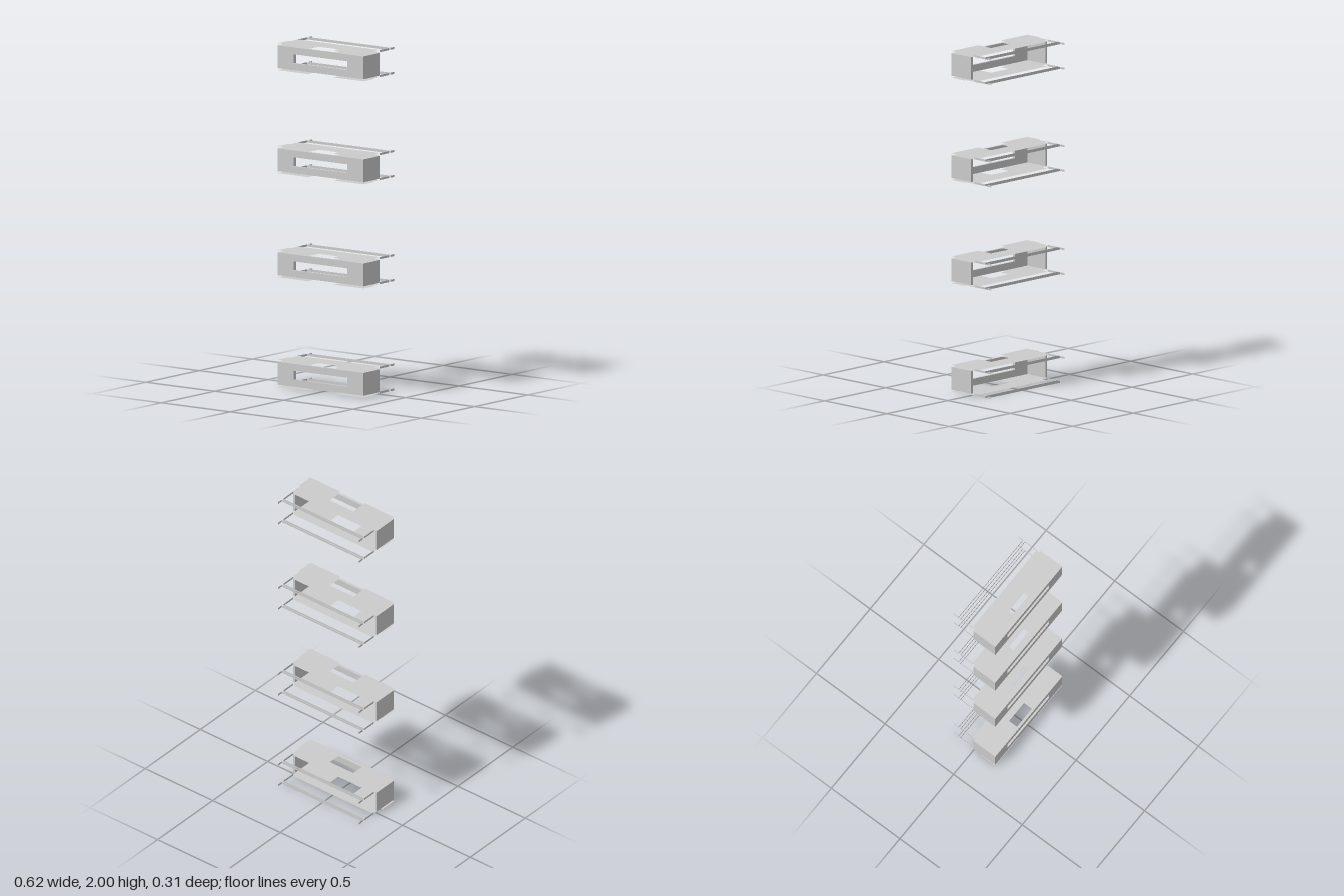
import * as THREE from 'three';

const HEIGHT = 0.157; // one case, over both plates
const SKIN = 0.012; // gap between the two sheets of a plate
const mat = new THREE.MeshStandardMaterial({ color: 0xcccccc, side: THREE.DoubleSide, flatShading: true });

function add(group, name, geometry, x = 0, y = 0, z = 0) {
  const mesh = new THREE.Mesh(geometry, mat);
  mesh.name = name;
  mesh.position.set(x, y, z);
  group.add(mesh);
  return mesh;
}

// Plate outline in x/z: stepped sides and a notch in the front edge
function plateGeometry() {
  const half = [[0.297, -0.02], [0.297, 0.05], [0.311, 0.05], [0.311, 0.155], [0.092, 0.155], [0.092, 0.05]];
  const points = [...half, ...half.map(([x, z]) => [-x, z]).reverse()];
  const shape = new THREE.Shape(points.map(([x, z]) => new THREE.Vector2(x, -z)));
  return new THREE.ShapeGeometry(shape).rotateX(-Math.PI / 2);
}

// Front panel with a long window
function frontGeometry(w, h, depth) {
  const rect = (path, x0, y0, x1, y1) =>
    path.moveTo(x0, y0).lineTo(x1, y0).lineTo(x1, y1).lineTo(x0, y1).closePath();
  const shape = new THREE.Shape();
  rect(shape, -w / 2, -h / 2, w / 2, h / 2);
  const hole = new THREE.Path();
  rect(hole, -0.195, -0.026, 0.192, 0.026);
  shape.holes.push(hole);
  return new THREE.ExtrudeGeometry(shape, { depth, bevelEnabled: false });
}

// Thin upright strips that trace a frame behind the case
function railFrame(group, y) {
  const frame = new THREE.Group();
  frame.name = 'rearRail';
  for (const z of [-0.105, -0.12]) {
    add(frame, 'longRail', new THREE.PlaneGeometry(0.6, SKIN), 0, y, z);
  }
  for (const s of [-1, 1]) {
    for (const [z0, z1] of [[-0.105, -0.018], [-0.155, -0.12]]) {
      const strip = new THREE.PlaneGeometry(z1 - z0, SKIN).rotateY(Math.PI / 2);
      add(frame, 'railEnd', strip, s * 0.299, y, (z0 + z1) / 2);
    }
  }
  group.add(frame);
}

function caseUnit() {
  const unit = new THREE.Group();
  unit.name = 'caseUnit';
  const inner = HEIGHT - 2 * SKIN;
  const mid = HEIGHT / 2;

  // Walls, open at the back
  add(unit, 'frontPanel', frontGeometry(0.622, inner, 0.015), 0, mid, 0.14);
  for (const s of [-1, 1]) {
    add(unit, 'sidePanel', new THREE.BoxGeometry(0.014, inner, 0.143), s * 0.304, mid, 0.0685);
  }

  // Two-sheet plates above and below
  const plate = plateGeometry();
  for (const y of [0, SKIN, HEIGHT - SKIN, HEIGHT]) {
    add(unit, y < mid ? 'bottomPlate' : 'topPlate', plate, 0, y, 0);
  }

  railFrame(unit, SKIN / 2);
  railFrame(unit, HEIGHT - SKIN / 2);
  return unit;
}

export function createModel() {
  const model = new THREE.Group();
  model.name = 'stackedCases';
  for (const y of [0, 0.637, 1.243, 1.843]) {
    const unit = caseUnit();
    unit.position.y = y;
    model.add(unit);
  }
  return model;
}
